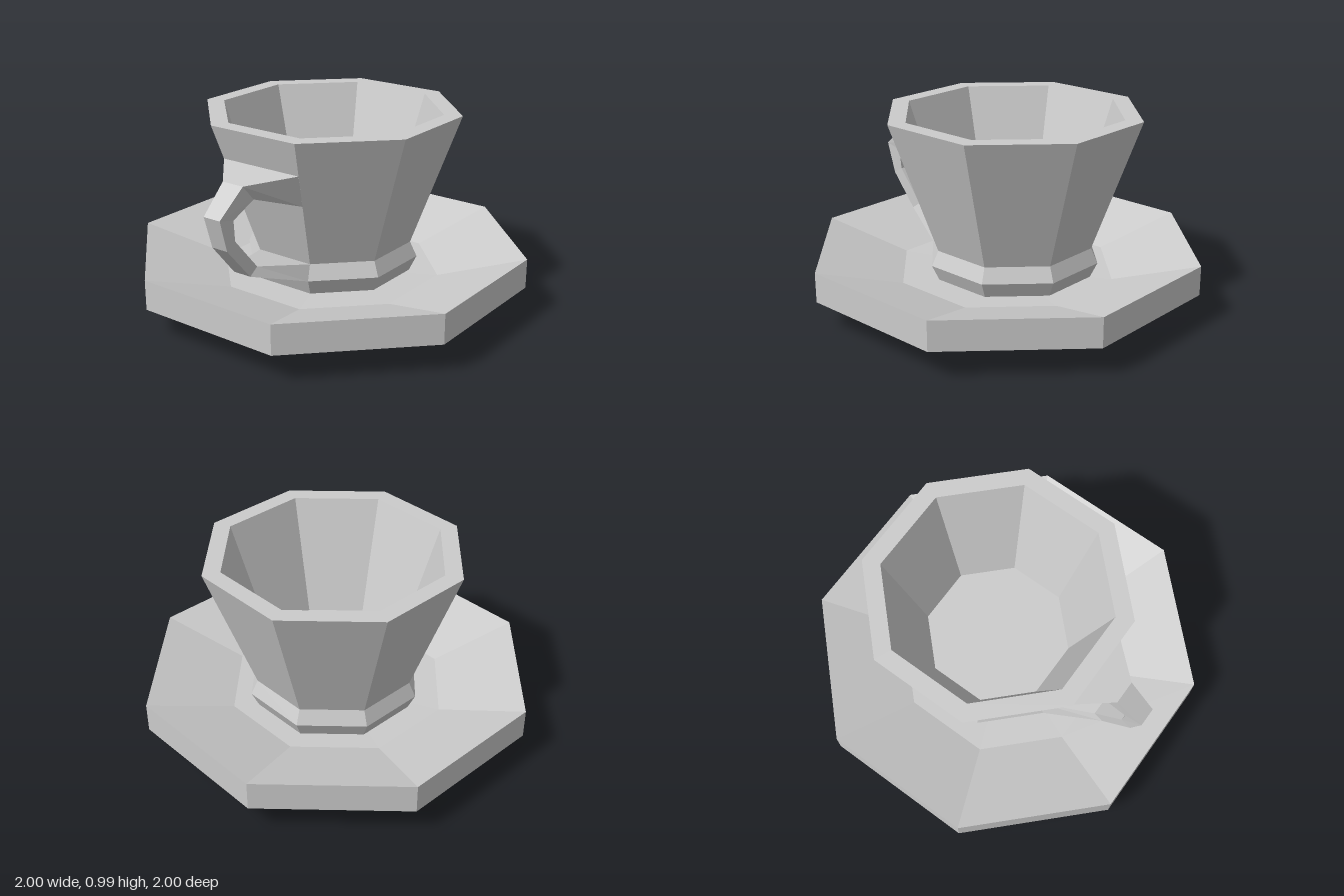
import * as THREE from 'three';

const material = new THREE.MeshStandardMaterial({ color: 0xcccccc, flatShading: true });

// Eight-sided solid of revolution from [radius, y] pairs, corners on the axes
function octagonal(name, profile) {
  const points = profile.map(([r, y]) => new THREE.Vector2(r, y));
  const mesh = new THREE.Mesh(new THREE.LatheGeometry(points, 8), material);
  mesh.name = name;
  return mesh;
}

// Four-sided band through sections [outer z, outer y, outer half width, inner z, inner y, inner half width]
function band(name, sections) {
  const positions = [];
  const index = [];
  for (const [zo, yo, wo, zi, yi, wi] of sections) {
    positions.push(wo, yo, zo, -wo, yo, zo, -wi, yi, zi, wi, yi, zi);
  }
  for (let i = 0; i < sections.length - 1; i++) {
    for (let k = 0; k < 4; k++) {
      const a = i * 4 + k, b = i * 4 + (k + 1) % 4;
      index.push(a, b, b + 4, a, b + 4, a + 4);
    }
  }
  const geometry = new THREE.BufferGeometry();
  geometry.setAttribute('position', new THREE.Float32BufferAttribute(positions, 3));
  geometry.setIndex(index);
  geometry.computeVertexNormals();
  const mesh = new THREE.Mesh(geometry, material);
  mesh.name = name;
  return mesh;
}

export function createModel() {
  const model = new THREE.Group();
  model.name = 'cupAndSaucer';

  // Saucer: shallow dish with a thick rim
  model.add(octagonal('saucer', [
    [0, 0], [0.56, 0.02], [1, 0.145], [1, 0.295], [0.56, 0.165], [0, 0.15],
  ]));

  // Cup sits slightly towards the back of the saucer
  const cup = new THREE.Group();
  cup.name = 'cup';
  cup.position.z = -0.04;
  model.add(cup);

  // Foot, flared ring, outer wall, rim, inner wall and floor
  cup.add(octagonal('cupBody', [
    [0, 0.155], [0.405, 0.155], [0.445, 0.24], [0.41, 0.315],
    [0.65, 0.985], [0.56, 0.985], [0.37, 0.41], [0, 0.41],
  ]));

  // Handle grows out of one wall face and returns to the flared ring
  const handle = band('handle', [
    [0.544, 0.815, 0.225, 0.49, 0.65, 0.203],
    [0.735, 0.785, 0.06, 0.665, 0.705, 0.06],
    [0.88, 0.66, 0.048, 0.79, 0.637, 0.048],
    [0.835, 0.5, 0.045, 0.78, 0.533, 0.045],
    [0.69, 0.33, 0.05, 0.64, 0.365, 0.05],
    [0.411, 0.24, 0.17, 0.379, 0.315, 0.157],
  ]);
  handle.rotation.y = -Math.PI / 8;
  cup.add(handle);

  return model;
}
